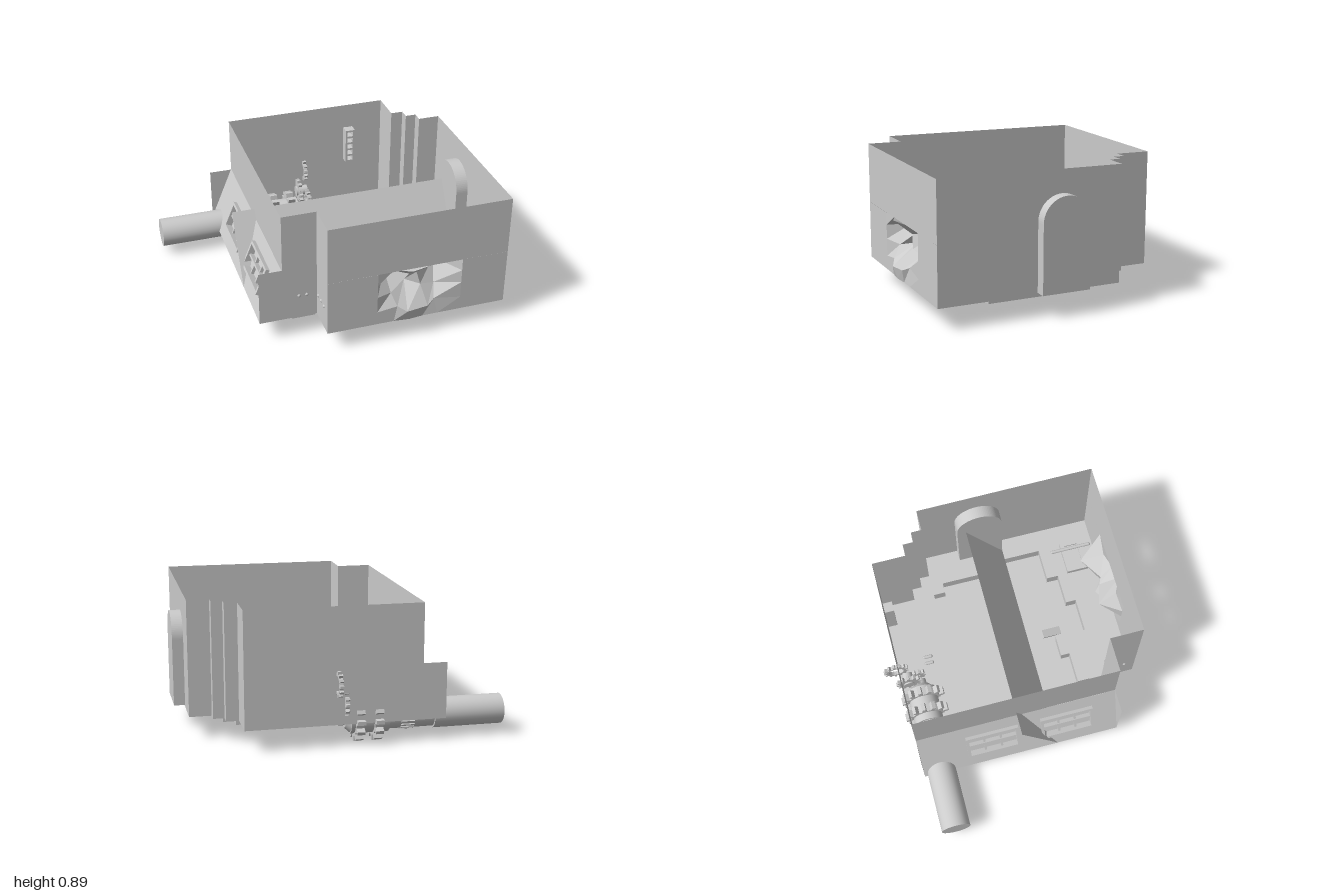
import * as THREE from 'three';

const mat = new THREE.MeshStandardMaterial({ color: 0xcccccc, flatShading: true, side: THREE.DoubleSide });
const smooth = new THREE.MeshStandardMaterial({ color: 0xcccccc });

function add(parent, name, geo, x = 0, y = 0, z = 0, m = mat) {
  const mesh = new THREE.Mesh(geo, m);
  mesh.name = name;
  mesh.position.set(x, y, z);
  parent.add(mesh);
  return mesh;
}

const box = (parent, name, w, h, d, x, y, z) => add(parent, name, new THREE.BoxGeometry(w, h, d), x, y, z);

// Vertical sheet following [x, z] points between two heights that may vary with z
function wall(path, low, high) {
  const pos = [];
  for (let i = 0; i < path.length - 1; i++) {
    const [ax, az] = path[i], [bx, bz] = path[i + 1];
    const a = [ax, low(az), az], b = [bx, low(bz), bz], c = [bx, high(bz), bz], d = [ax, high(az), az];
    pos.push(...a, ...c, ...b, ...a, ...d, ...c);
  }
  const g = new THREE.BufferGeometry();
  g.setAttribute('position', new THREE.Float32BufferAttribute(pos, 3));
  g.computeVertexNormals();
  return g;
}

// Horizontal sheet from [x, z] points with holes
function sheet(points, holes = []) {
  const toV = (p) => p.map(([x, z]) => new THREE.Vector2(x, -z));
  const s = new THREE.Shape(toV(points));
  holes.forEach((h) => s.holes.push(new THREE.Path(toV(h))));
  return new THREE.ShapeGeometry(s).rotateX(-Math.PI / 2);
}

const rect = (x0, x1, z0, z1) => [[x0, z0], [x1, z0], [x1, z1], [x0, z1]];
const close = (p) => [...p, p[0]];

// Toothed wheel with its axle along x
function gear(radius, root, bore, teeth, width) {
  const s = new THREE.Shape();
  for (let i = 0; i < teeth; i++) {
    [[-0.27, root], [-0.17, radius], [0.17, radius], [0.27, root]].forEach(([o, r], k) => {
      const a = ((i + o) / teeth) * Math.PI * 2;
      const x = Math.cos(a) * r, y = Math.sin(a) * r;
      if (i + k === 0) s.moveTo(x, y); else s.lineTo(x, y);
    });
  }
  s.closePath();
  if (bore) s.holes.push(new THREE.Path().absarc(0, 0, bore, 0, Math.PI * 2, true));
  return new THREE.ExtrudeGeometry(s, { depth: width, bevelEnabled: false, curveSegments: 10 })
    .translate(0, 0, -width / 2).rotateY(Math.PI / 2);
}

export function createModel() {
  const model = new THREE.Group();
  const FLOOR = 0.14, PIT = 0.07;
  const rim = (z) => 0.87 + 0.013 * (z + 0.74);
  const mid = (z) => 0.495 + 0.01 * (z + 0.74);
  const flat = (y) => () => y;

  // Outer walls with a stepped back corner
  const steps = [[0.64, -0.74], [0.64, -0.52], [0.72, -0.52], [0.72, -0.45], [0.79, -0.45], [0.79, -0.38], [0.93, -0.38], [0.93, 0.8]];
  const corner = [[-0.24, 0.8], [-0.24, 0.58]];
  add(model, 'upperWalls', wall(close([[-0.46, -0.74], ...steps, ...corner, [-0.46, 0.58]]), mid, rim));
  add(model, 'lowerWalls', wall([[-0.61, -0.74], ...steps], flat(FLOOR), mid));
  add(model, 'lowerCornerWalls', wall([...corner, [-0.61, 0.58]], flat(FLOOR), mid));

  // Front panel with a breach punched inward
  const cols = [-0.24, 0.08, 0.19, 0.29, 0.38, 0.48, 0.63, 0.93];
  const rows = [0.51, 0.43, 0.34, 0.23, FLOOR];
  const dent = [
    [0, 0, -0.02, 0.03, 0.01, -0.02, 0, 0],
    [0, 0, -0.14, -0.09, -0.07, -0.17, 0, 0],
    [0, 0, -0.05, -0.12, -0.06, -0.08, 0, 0],
    [0, 0, 0, 0.03, 0.02, -0.01, 0, 0],
    [0, 0, 0, 0.01, 0, 0, 0, 0],
  ];
  const panel = new THREE.PlaneGeometry(1, 1, cols.length - 1, rows.length - 1);
  rows.forEach((y, r) => cols.forEach((x, c) => {
    const d = dent[r][c], inner = r > 0 && r < 4 && c > 1 && c < 6;
    panel.attributes.position.setXYZ(r * cols.length + c,
      x + (inner ? 0.025 * Math.sin(r * 5 + c * 3) : 0), y + (inner ? 0.02 * Math.cos(r * 3 + c * 2) : 0), 0.8 + d);
  }));
  panel.computeVertexNormals();
  add(model, 'breachedFrontWall', panel);

  // Floor with a sunken pit and a hatch opening
  const pit = [[-0.46, -0.38], [0.64, -0.38], [0.64, -0.3], [0.71, -0.3], [0.71, 0], [0.78, 0], [0.78, 0.42],
    [0.56, 0.42], [0.56, 0.5], [0.35, 0.5], [0.35, 0.57], [0.12, 0.57], [0.12, 0.36], [-0.02, 0.36],
    [-0.02, 0.42], [-0.23, 0.42], [-0.23, 0.5], [-0.38, 0.5], [-0.38, 0.1], [-0.46, 0.1]];
  const hatch = rect(0.585, 0.755, 0.6, 0.69), slot = rect(-0.13, 0.37, 0, 0.11);
  const outline = [[-0.61, -0.74], ...steps, ...corner, [-0.61, 0.58]];
  add(model, 'floor', sheet(outline, [pit, hatch]), 0, FLOOR);
  add(model, 'pitWalls', wall(close(pit), flat(PIT), flat(FLOOR)));
  add(model, 'pitFloor', sheet(pit, [slot]), 0, PIT);
  add(model, 'slotWalls', wall(close(slot), flat(PIT), flat(FLOOR)));
  add(model, 'slotCap', sheet(slot), 0, FLOOR);

  // Hatch frame, lid and lever
  add(model, 'hatchFrame', sheet(rect(0.56, 0.78, 0.57, 0.72), [hatch]), 0, 0.17);
  add(model, 'hatchOuterSides', wall(close(rect(0.56, 0.78, 0.57, 0.72)), flat(FLOOR), flat(0.17)));
  add(model, 'hatchInnerSides', wall(close(hatch), flat(FLOOR), flat(0.17)));
  add(model, 'hatchLid', sheet(hatch), 0, 0.16);
  add(model, 'hatchLever', new THREE.CapsuleGeometry(0.012, 0.265, 3, 8).rotateX(Math.PI / 2), 0.725, 0.185, 0.635, smooth);

  // Tilted dividing plate across the room
  const plateEnd = [[-0.08, 0.56], [0.17, FLOOR]];
  const plate = new THREE.PlaneGeometry(1.53, 1);
  plateEnd.forEach(([z, y], r) => [-0.61, 0.92].forEach((x, c) => plate.attributes.position.setXYZ(r * 2 + c, x, y, z)));
  plate.computeVertexNormals();
  add(model, 'dividingPlate', plate);

  // Sloped left wall with two barred windows; local x runs along z, local y up the slope
  const slope = new THREE.Group();
  slope.name = 'slopedWindowWall';
  const len = Math.hypot(0.15, 0.36);
  const face = new THREE.Shape([[-0.74, 0], [0.58, 0], [0.58, len], [-0.74, len]].map((p) => new THREE.Vector2(...p)));
  const windows = [-0.255, 0.245];
  windows.forEach((c) => {
    const [a, b] = [c - 0.16, c + 0.16];
    face.holes.push(new THREE.Path([[a, 0.12], [a, 0.28], [b, 0.28], [b, 0.12]].map((p) => new THREE.Vector2(...p))));
    for (const s of [-1, 1]) {
      box(slope, 'windowSideFrame', 0.018, 0.19, 0.05, c + s * 0.166, 0.2, 0);
      box(slope, 'windowRail', 0.34, 0.018, 0.05, c, 0.2 + s * 0.086, 0);
      box(slope, 'windowBar', 0.014, 0.16, 0.025, c + s * 0.055, 0.2, -0.01);
    }
    box(slope, 'windowShelf', 0.32, 0.014, 0.04, c, 0.2, -0.01);
    box(slope, 'windowBack', 0.32, 0.16, 0.006, c, 0.2, -0.022);
  });
  add(slope, 'slopeFace', new THREE.ShapeGeometry(face));
  const up = new THREE.Vector3(0.15, 0.36, 0).normalize(), along = new THREE.Vector3(0, 0, 1);
  slope.setRotationFromMatrix(new THREE.Matrix4().makeBasis(along, up, along.clone().cross(up)));
  slope.position.set(-0.61, FLOOR, 0);
  model.add(slope);

  // Arched door block through the right wall
  const arch = new THREE.Shape();
  arch.moveTo(-0.155, 0.15);
  arch.lineTo(0.155, 0.15);
  arch.lineTo(0.155, 0.58);
  arch.absarc(0, 0.58, 0.155, 0, Math.PI);
  arch.closePath();
  add(model, 'archedDoor', new THREE.ExtrudeGeometry(arch, { depth: 0.15, bevelEnabled: false, curveSegments: 20 })
    .rotateY(Math.PI / 2), 0.85, 0, 0.015, smooth);

  // Drive shaft: pipe, collars, splines and gears
  const drive = new THREE.Group();
  drive.name = 'driveShaft';
  drive.position.set(0, 0.147, -0.625);
  model.add(drive);
  const rod = (name, x0, x1, r0, r1 = r0) => add(drive, name,
    new THREE.CylinderGeometry(r1, r0, x1 - x0, 32).rotateZ(-Math.PI / 2), (x0 + x1) / 2, 0, 0, smooth);
  rod('pipe', -1, -0.55, 0.095);
  rod('shaft', -0.55, -0.25, 0.083);
  rod('hub', -0.26, -0.02, 0.098);
  rod('taper', -0.02, 0.01, 0.09, 0.06);
  rod('axleEnd', 0.01, 0.05, 0.045);
  add(drive, 'splines', gear(0.09, 0.08, 0, 22, 0.085), -0.38);
  for (const x of [-0.187, -0.07]) add(drive, 'largeGear', gear(0.147, 0.115, 0, 13, 0.05), x);

  // Small gear train climbing the back wall
  add(model, 'middleGear', gear(0.085, 0.065, 0.03, 12, 0.025), 0.017, 0.265, -0.695);
  add(model, 'middleGearAxle', new THREE.CylinderGeometry(0.035, 0.035, 0.08, 16).rotateZ(Math.PI / 2), 0.035, 0.265, -0.695, smooth);
  add(model, 'lowerSmallGear', gear(0.06, 0.045, 0.02, 10, 0.025), 0.065, 0.23, -0.63);
  add(model, 'ringGear', gear(0.082, 0.064, 0.05, 13, 0.024), 0.07, 0.4, -0.758);

  // Perforated rack on the back wall
  for (const s of [-1, 1]) box(model, 'rackPost', 0.014, 0.25, 0.06, 0.395 + s * 0.026, 0.575, -0.705);
  for (let i = 0; i < 6; i++) box(model, 'rackShelf', 0.06, 0.014, 0.06, 0.395, 0.457 + i * 0.047, -0.705);

  // Pegs on the floor and corner walls
  const peg = new THREE.CapsuleGeometry(0.012, 0.045, 3, 8);
  const lying = peg.clone().rotateX(Math.PI / 2);
  for (const x of [0.155, 0.2]) add(model, 'floorPeg', lying, x, 0.152, -0.53, smooth);
  for (const x of [-0.355, -0.305]) add(model, 'cornerPeg', lying, x, 0.3, 0.555, smooth);
  for (const z of [0.615, 0.67, 0.73]) add(model, 'sidePeg', peg.clone().rotateZ(Math.PI / 2), -0.215, 0.3, z, smooth);

  // Broken plank poking through the pit floor
  const plank = box(model, 'brokenPlank', 0.055, 0.02, 0.14, 0.18, 0.088, 0.345);
  plank.rotation.set(0.35, 0.12, 0.15);
  return model;
}
